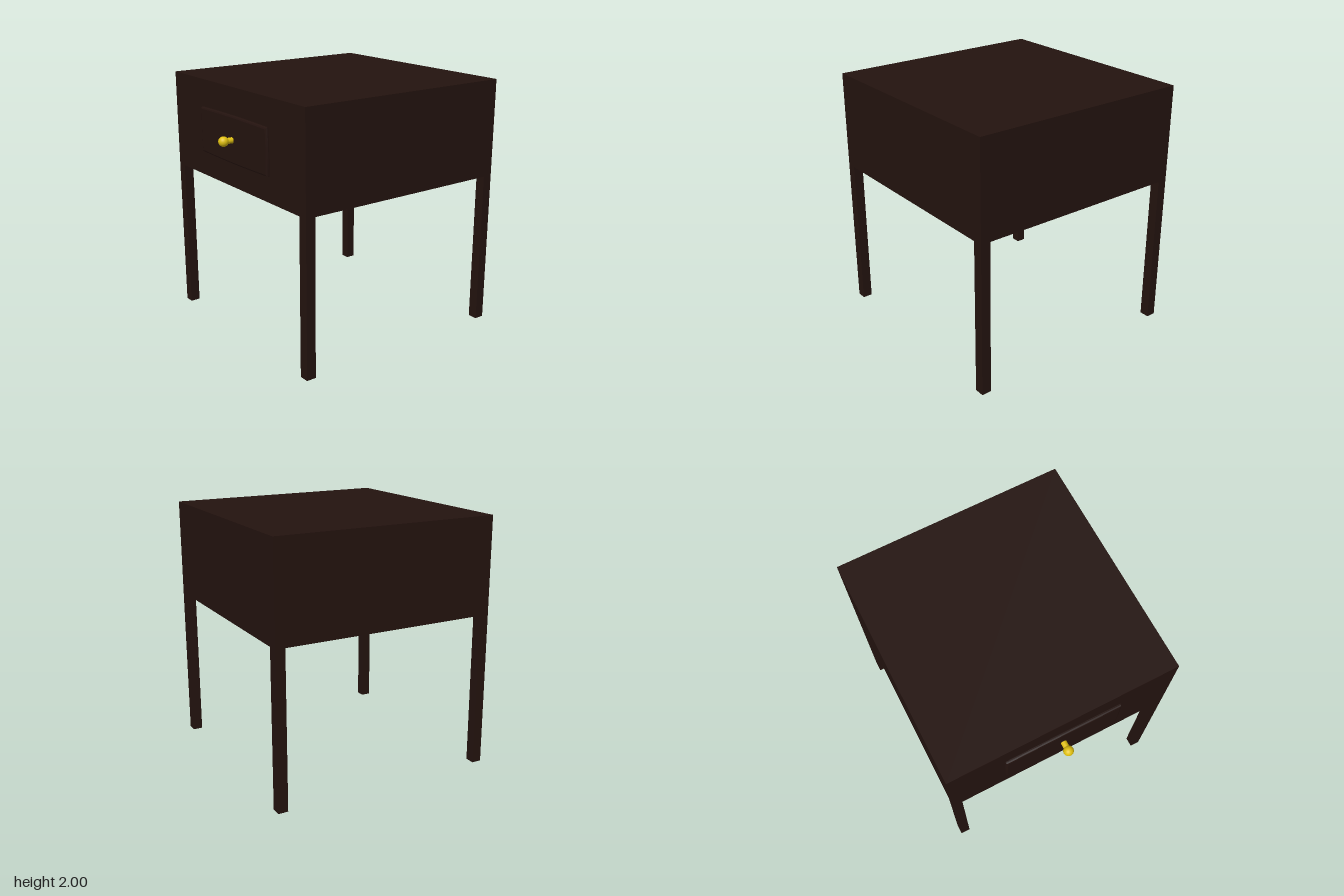
import * as THREE from 'three';

export function createModel() {
  const group = new THREE.Group();
  const wood = new THREE.MeshStandardMaterial({ color: 0x24130f });
  const brass = new THREE.MeshStandardMaterial({ color: 0xe0c010 });

  function add(name, geometry, material, x, y, z) {
    const mesh = new THREE.Mesh(geometry, material);
    mesh.name = name;
    mesh.position.set(x, y, z);
    group.add(mesh);
    return mesh;
  }

  // Cabinet box
  const half = 0.905, bottom = 1.23, front = 0.837, back = -0.973;
  add('cabinet', new THREE.BoxGeometry(half * 2, 2 - bottom, front - back), wood,
    0, (2 + bottom) / 2, (front + back) / 2);

  // Four square legs, flush with the cabinet corners
  const leg = 0.078;
  for (const side of [-1, 1]) {
    for (const [end, z] of [['front', front - leg / 2], ['back', back + leg / 2]]) {
      add(end + (side > 0 ? 'Left' : 'Right') + 'Leg', new THREE.BoxGeometry(leg, bottom, leg), wood,
        side * (half - leg / 2), bottom / 2, z);
    }
  }

  // Drawer front: slightly bowed outline with a chamfered rim
  const w = 0.448, h = 0.165, bow = 0.012;
  const outline = new THREE.Shape();
  outline.moveTo(-w, -h);
  outline.quadraticCurveTo(0, -h - bow, w, -h);
  outline.quadraticCurveTo(w + bow, 0, w, h);
  outline.quadraticCurveTo(0, h + bow, -w, h);
  outline.quadraticCurveTo(-w - bow, 0, -w, -h);
  const panel = new THREE.ExtrudeGeometry(outline, {
    depth: 0.02, bevelThickness: 0.014, bevelSize: 0.014, bevelSegments: 2, curveSegments: 8,
  });
  add('drawerFront', panel, wood, 0, 1.605, 0.826);

  // Drawer knob: short stem and ball
  const knobY = 1.606;
  add('knobStem', new THREE.CylinderGeometry(0.023, 0.023, 0.09, 24), brass, 0, knobY, 0.885)
    .rotation.x = Math.PI / 2;
  add('knobBall', new THREE.SphereGeometry(0.039, 32, 20), brass, 0, knobY, 0.934);

  return group;
}
